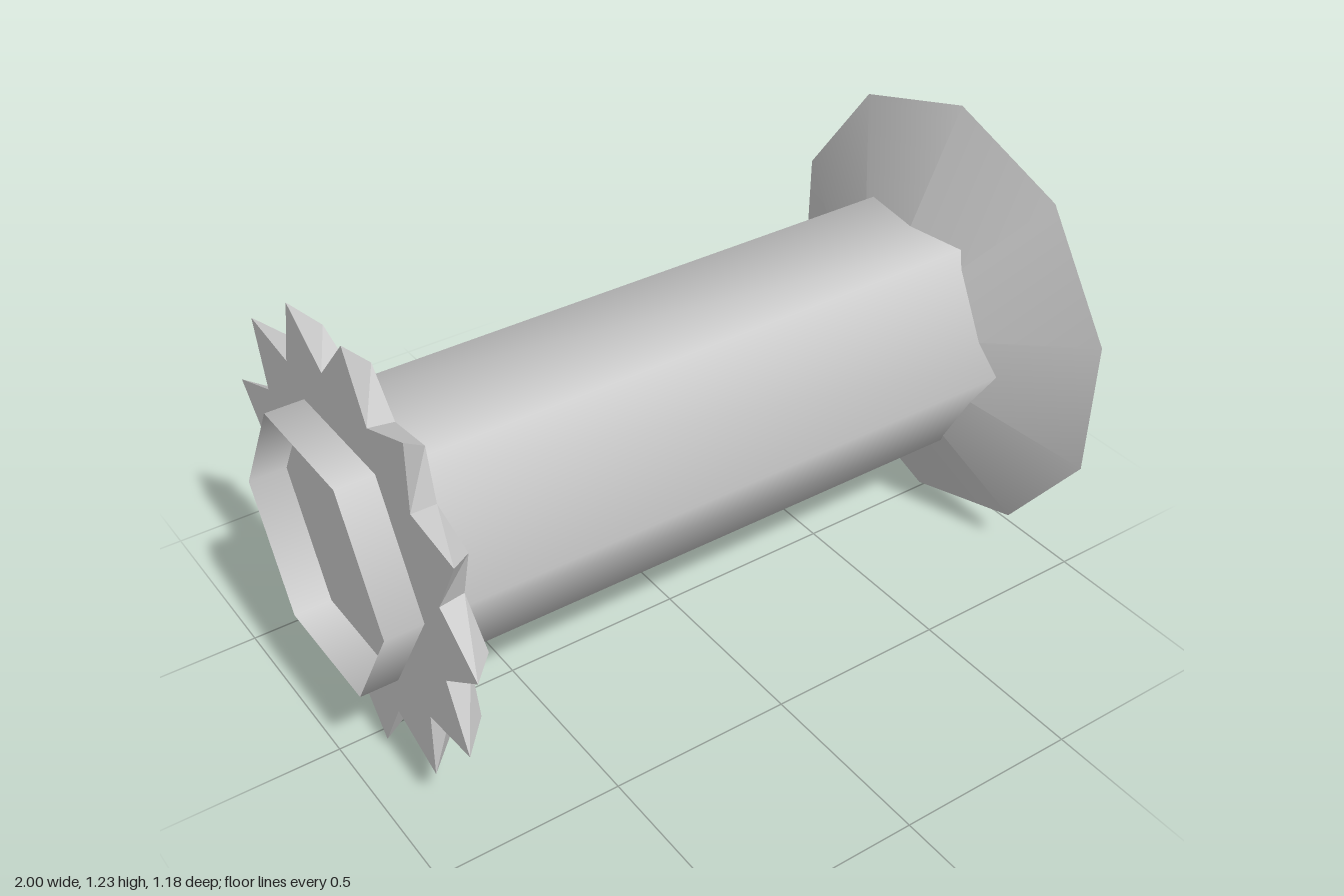
import * as THREE from 'three';

const AXIS_Y = 0.62;
const TEETH = 13;

// Toothed ring of points around the x axis, with one tip pointing to +z
function starRing(x, tip, valley) {
  const points = [];
  for (let i = 0; i < TEETH * 2; i++) {
    const a = Math.PI / 2 + (i * Math.PI) / TEETH;
    const r = i % 2 ? valley : tip;
    points.push([x, r * Math.cos(a), r * Math.sin(a)]);
  }
  return points;
}

// Solid between two rings, with flat end faces
function solidBetween(left, right) {
  const pos = [];
  const tri = (...corners) => corners.forEach((c) => pos.push(...c));
  const leftCentre = [left[0][0], 0, 0];
  const rightCentre = [right[0][0], 0, 0];
  left.forEach((p, i) => {
    const j = (i + 1) % left.length;
    tri(p, left[j], right[i]);
    tri(right[i], left[j], right[j]);
    tri(leftCentre, left[j], p);
    tri(rightCentre, right[i], right[j]);
  });
  const geo = new THREE.BufferGeometry();
  geo.setAttribute('position', new THREE.Float32BufferAttribute(pos, 3));
  geo.computeVertexNormals();
  return geo;
}

export function createModel() {
  const group = new THREE.Group();
  const add = (name, geometry, options = {}) => {
    const material = new THREE.MeshStandardMaterial({ color: 0xcccccc, ...options });
    const mesh = new THREE.Mesh(geometry, material);
    mesh.name = name;
    mesh.position.y = AXIS_Y;
    group.add(mesh);
  };

  // Open six-sided tube, smooth shaded, with corners at +z and -z
  const tube = new THREE.CylinderGeometry(0.35, 0.35, 2, 6, 1, true);
  tube.rotateZ(-Math.PI / 2);
  add('tube', tube, { side: THREE.DoubleSide });

  // Ten-sided conical flange; its base closes the tube just inside the end
  const height = 0.275;
  const flange = new THREE.ConeGeometry(0.617, height, 10, 1, false, THREE.MathUtils.degToRad(88.8));
  flange.rotateZ(Math.PI / 2);
  flange.translate(0.91 - height / 2, 0, 0);
  add('flange', flange);

  // Bevelled toothed wheel; its faces close the other end
  const wheel = solidBetween(starRing(-0.9, 0.585, 0.445), starRing(-0.83, 0.51, 0.43));
  add('toothedWheel', wheel, { flatShading: true });

  return group;
}
